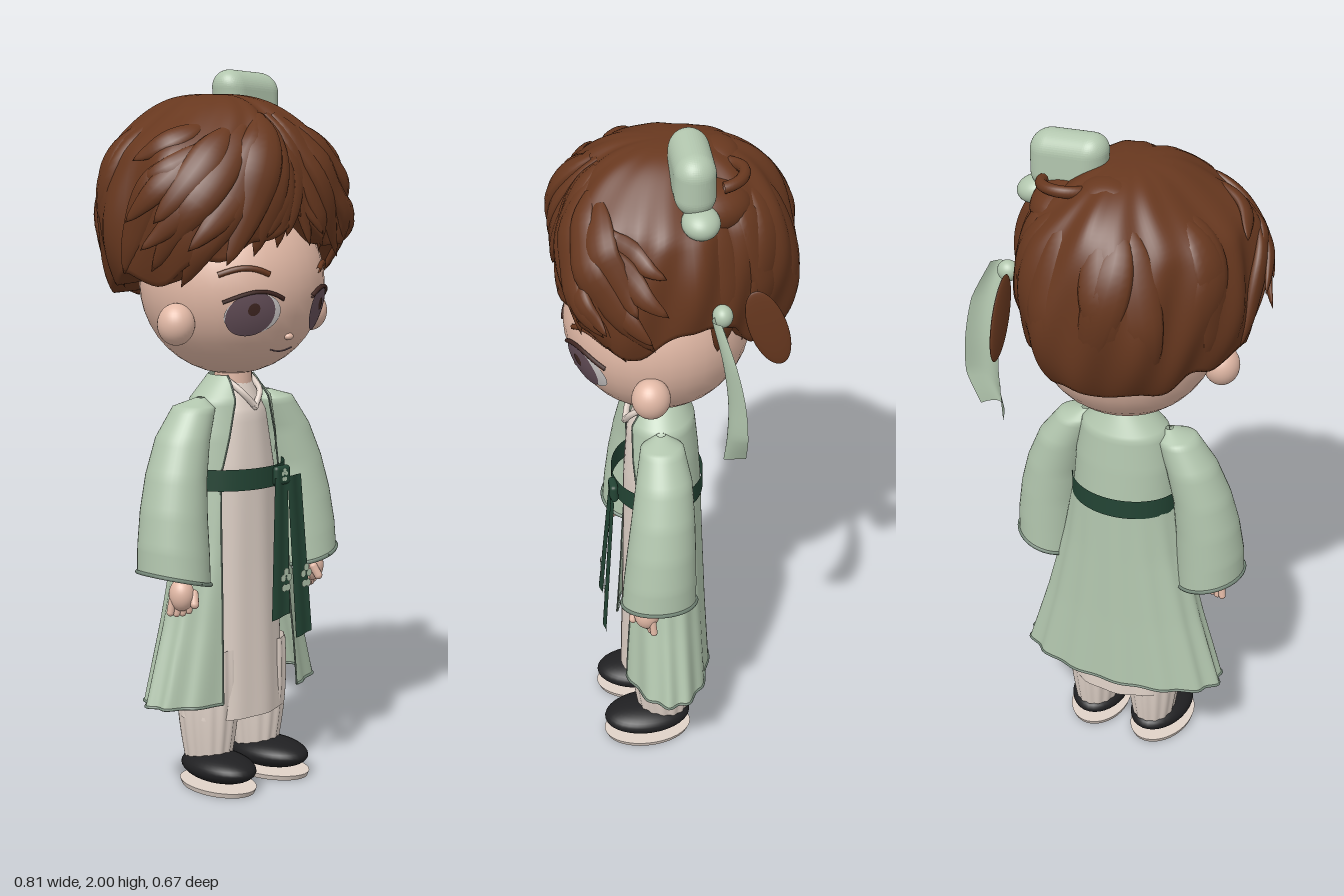
import * as THREE from 'three';
import { mergeVertices } from 'three/addons/utils/BufferGeometryUtils.js';
import { RoundedBoxGeometry } from 'three/addons/geometries/RoundedBoxGeometry.js';

const mat = (name, color, side = THREE.DoubleSide) => {
  const m = new THREE.MeshStandardMaterial({ color, side });
  m.name = name;
  return m;
};
const V = (x, y, z) => new THREE.Vector3(x, y, z);
const { sin, cos, PI, abs, sqrt } = Math;
const { clamp, lerp, smoothstep } = THREE.MathUtils;

// Smooth surface from a rule fn(u, v); u runs around, v runs downward
function grid(fn, nu, nv) {
  const pos = [], idx = [];
  for (let j = 0; j <= nv; j++) for (let i = 0; i <= nu; i++) pos.push(...fn(i / nu, j / nv).toArray());
  for (let j = 0; j < nv; j++) for (let i = 0; i < nu; i++) {
    const a = j * (nu + 1) + i, d = a + nu + 1;
    idx.push(a, d, a + 1, a + 1, d, d + 1);
  }
  let g = new THREE.BufferGeometry();
  g.setAttribute('position', new THREE.Float32BufferAttribute(pos, 3));
  g.setIndex(idx);
  g = mergeVertices(g, 1e-5);
  g.computeVertexNormals();
  return g;
}
const tube = (pts, r, n = 24) => new THREE.TubeGeometry(new THREE.CatmullRomCurve3(pts), n, r, 6);
const sample = (n, fn) => Array.from({ length: n + 1 }, (_, i) => fn(i / n));

// Linear lookup in rows [y, a, b, ...] sorted from top to bottom
function rowAt(rows, t) {
  const f = t * (rows.length - 1), i = Math.min(Math.floor(f), rows.length - 2);
  return rows[i].map((a, k) => lerp(a, rows[i + 1][k], f - i));
}

// Hair cap: radius and rim height for 16 directions, starting at the front and turning to +x
const HAIR_R = [.305, .335, .36, .335, .32, .305, .315, .335, .335, .33, .32, .325, .34, .36, .36, .335];
const RIM = [1.61, 1.54, 1.51, 1.44, 1.54, 1.52, 1.42, 1.39, 1.38, 1.38, 1.4, 1.43, 1.45, 1.44, 1.51, 1.54];
function around(table, a) {
  const f = (((a / (2 * PI)) % 1) + 1) % 1 * 16, i = Math.floor(f) % 16, k = f - Math.floor(f);
  return lerp(table[i], table[(i + 1) % 16], k * k * (3 - 2 * k));
}
function hairAt(a, y, off = 0) {
  const c = clamp((y - 1.6) / .335, -1, 1), s = Math.pow(1 - c * c, .35);
  const wave = s * (.009 * sin(7 * a + 9 * y) + .006 * sin(15 * a - 14 * y));
  const r = around(HAIR_R, a) * s + wave + off, narrow = 1 - .25 * smoothstep(y, 1.77, 1.92);
  return V(-.03 + r * sin(a) * narrow, y, r * cos(a));
}

// Face helper: a point on the head, lifted slightly
const HEAD = V(0, 1.42, .045), HR = V(.26, .255, .255);
function faceAt(x, y, lift = 1.01) {
  const k = sqrt(Math.max(0, 1 - (x / HR.x) ** 2 - ((y - HEAD.y) / HR.y) ** 2));
  return V(x * lift, (y - HEAD.y) * lift + HEAD.y, HEAD.z + HR.z * k * lift);
}
function facePatch(cx, cy, rx, ry, lift) {
  return grid((u, v) => faceAt(cx - rx * (1 - v) * sin(u * 2 * PI), cy + ry * (1 - v) * cos(u * 2 * PI), lift), 32, 6);
}

export function createModel() {
  const root = new THREE.Group();
  const skin = mat('skin', 0xe2b9a6), hair = mat('hair brown', 0x68381f), green = mat('sage cloth', 0xb2c6ae);
  const cream = mat('cream cloth', 0xe0d2c8), belt = mat('dark green sash', 0x234434), black = mat('shoe black', 0x202022);
  const trim = mat('trim green', 0x76897a), iris = mat('iris plum', 0x66505a), white = mat('eye white', 0xd0cccb);
  const dark = mat('dark brown', 0x402722);
  const add = (name, geo, m, p, s, r) => {
    const o = new THREE.Mesh(geo, m);
    o.name = name;
    if (p) o.position.set(...p);
    if (s) o.scale.set(...s);
    if (r) o.rotation.set(...r);
    root.add(o);
    return o;
  };
  const ball = (name, m, p, s, r) => add(name, new THREE.SphereGeometry(1, 32, 20), m, p, s, r);

  // Head, ears and neck
  ball('head', skin, HEAD.toArray(), HR.toArray());
  add('neck', new THREE.CylinderGeometry(.052, .055, .14, 24), skin, [0, 1.13, .05]);
  for (const s of [-1, 1]) ball('ear', skin, [s * .263, 1.325, .095], [.05, .057, .052]);

  // Face
  for (const s of [-1, 1]) {
    const ix = s < 0 ? -.132 : .112;
    add('eyeWhite', facePatch(s * .125, 1.355, .066, .055, 1.008), white);
    add('iris', facePatch(ix, 1.355, .056, .06, 1.014), iris);
    add('pupil', facePatch(ix, 1.368, .014, .017, 1.019), dark);
    add('upperLid', tube(sample(8, t => faceAt(s * lerp(.055, .198, t), 1.375 + .04 * sin(PI * (.15 + .75 * t)), 1.012)), .006), dark);
    add('eyebrow', tube(sample(6, t => faceAt(s * lerp(.095, .205, t), 1.452 + .025 * sin(PI * (.1 + .8 * t)), 1.008)), .008), hair);
  }
  ball('nose', skin, [0, 1.285, .262], [.014, .01, .012]);
  add('mouth', tube(sample(8, t => faceAt(lerp(-.04, .045, t), 1.25 - .008 * sin(PI * t), 1.002)), .0018), iris);

  // Hair cap, folded inward below the rim
  add('hairCap', grid((u, v) => {
    const a = u * 2 * PI, rim = around(RIM, a) + .012 * sin(11 * a), t = Math.min(v / .88, 1);
    const end = Math.acos((rim - 1.6) / .335);
    const p = hairAt(a, 1.6 + .335 * cos(end * t));
    const k = v > .88 ? 1 - .45 * (v - .88) / .12 : 1;
    return V(-.03 * k + (p.x + .03) * k, p.y + (1 - k) * .04, p.z * k + (1 - k) * .04);
  }, 128, 50), hair);

  // Locks sweep along the cap and taper to a tip: start angle, height, end angle, height, width, tip lift
  const lock = ([a0, y0, a1, y1, w, lift, sink = .008]) => {
    const curve = new THREE.CatmullRomCurve3(sample(6, t =>
      hairAt(lerp(a0, a1, t * t * .5 + t * .5), lerp(y0, y1, t * .6 + t * t * .4), -sink + lift * t ** 3)));
    add('hairLock', grid((u, v) => {
      const p = curve.getPoint(v), T = curve.getTangent(v);
      const N = V(p.x + .03, (p.y - 1.6) * .9, p.z).normalize(), B = V().crossVectors(T, N).normalize();
      const r = w * Math.pow(sin(PI * (.06 + .94 * v)), .7), q = u * 2 * PI;
      return p.addScaledVector(B, r * cos(q)).addScaledVector(N, r * .45 * sin(q));
    }, 12, 18), hair);
  };
  for (const s of [-1, 1]) [
    [.05, 1.88, .2, 1.53, .045, .0], [.1, 1.88, .42, 1.51, .05, .0], [.2, 1.88, .68, 1.49, .055, .01],
    [.3, 1.86, 1.05, 1.43, .055, .0], [.5, 1.85, 1.3, 1.47, .05, .01], [.35, 1.78, .95, 1.53, .045, .03],
    [.7, 1.84, 1.2, 1.6, .05, .035], [.8, 1.8, 1.4, 1.7, .035, .02], [.03, 1.75, .32, 1.56, .035, .01],
  ].forEach(l => lock([s * l[0], l[1], s * l[2], l[3], l[4], l[5]]));
  [[-.9, 1.8, -1.45, 1.6, .04, .045], [-.8, 1.7, -1.3, 1.53, .035, .05], [-1, 1.85, -1.5, 1.76, .035, .025],
    [-1.2, 1.75, -1.6, 1.46, .05, .01], [.12, 1.8, -.12, 1.56, .035, .005],
    [.75, 1.78, 1.42, 1.61, .045, .055], [.6, 1.68, 1, 1.55, .035, .05], [.9, 1.66, 1.3, 1.52, .035, .05]].forEach(lock);
  for (let i = 0; i < 9; i++) {
    const a = 1.9 + i * .31;
    lock([a + .35 * sin(i * 2), 1.85, a, 1.43 + .02 * sin(i * 3), .058, 0, .021]);
  }

  // Bun, rolled tufts and thin side strand
  ball('hairBun', hair, [.11, 1.81, -.06], [.105, .075, .13]);
  add('bunRoll', new THREE.TorusGeometry(.07, .016, 10, 28, 3.4), hair, [.1, 1.885, -.1], null, [PI / 2 + .15, 0, 2.8]);
  ball('crownTuft', hair, [-.02, 1.885, -.11], [.08, .045, .07]);
  ball('sideStrand', hair, [.25, 1.51, -.215], [.01, .12, .05], [.35, 0, 0]);

  // Hair ornament, tapered toward its base, and hanging ribbon
  const knot = new RoundedBoxGeometry(.215, .165, .108, 8, .0535), kp = knot.attributes.position;
  for (let i = 0; i < kp.count; i++) kp.setX(i, kp.getX(i) * (1 + .5 * kp.getY(i)) - .12 * kp.getY(i));
  knot.computeVertexNormals();
  add('topKnot', knot, green, [.13, 1.915, -.03], null, [0, 0, -.07]);
  ball('topKnotEnd', green, [.222, 1.82, -.04], [.054, .038, .05], [0, 0, -.25]);
  ball('ribbonKnot', green, [.29, 1.582, -.088], [.03, .03, .027]);
  const ribbonRows = [[.323, 1.59, -.075, .026], [.347, 1.48, -.1, .047], [.355, 1.36, -.115, .051], [.35, 1.25, -.115, .053], [.325, 1.155, -.11, .034]];
  const ribbonPath = new THREE.CatmullRomCurve3(ribbonRows.map(r => V(r[0], r[1], r[2])));
  const ribbonAt = (u, v) => {
    const p = ribbonPath.getPoint(v), s = u * 2 - 1, w = rowAt(ribbonRows, v)[3];
    return V(p.x + s * w, p.y + s * .02 * v, p.z + .02 - .055 * s * s * (.4 + .6 * v));
  };
  add('hairRibbon', grid(ribbonAt, 14, 24), green);

  // Inner robe with crossed collar
  const robeRows = [[1.15, .056, .058], [1.06, .105, .09], [.9, .138, .102], [.6, .155, .108], [.2, .172, .12]];
  add('innerRobe', grid((u, v) => {
    const [y, w, d] = rowAt(robeRows, v), a = u * 2 * PI, k = 1 + .02 * v * sin(10 * a);
    return V(w * k * sin(a), y, .042 + d * k * cos(a));
  }, 64, 28), cream);
  for (const s of [-1, 1]) add('collar', tube([V(s * .05, 1.155, .07), V(s * .034, 1.12, .12), V(s * -.004, 1.075, .138)], .009), cream);

  // Open coat with trimmed edges
  const coatRows = [[1.165, .062, .064], [1.1, .128, .098], [1, .146, .108], [.9, .153, .115], [.7, .188, .12], [.48, .243, .126], [.26, .308, .135]];
  const coatAt = (u, v) => {
    const [y, w, d] = rowAt(coatRows, v);
    const open = y > .9 ? .05 + (1.165 - y) * .24 : .115 + (.9 - y) * .05;
    const a0 = Math.asin(Math.min(open / w, .86)), a = lerp(a0, 2 * PI - a0, u);
    const k = 1 + .024 * Math.max(0, v - .45) * 2 * sin(14 * a);
    return V(w * k * sin(a), y, .04 + d * k * cos(a));
  };
  add('coat', grid(coatAt, 96, 42), green);
  for (const u of [0, 1]) add('coatEdge', tube(sample(30, t => coatAt(u, t)), .0025, 60), trim);
  add('coatHem', tube(sample(70, t => coatAt(t, 1)), .004, 140), trim);

  // Sleeves, linings and hands
  const sleeveRows = [[1.11, .13, .052, .01, .012], [1.085, .155, .052, .058, .06], [1, .2, .053, .072, .078],
    [.9, .231, .06, .081, .088], [.8, .247, .067, .09, .096], [.7, .254, .073, .097, .102], [.625, .256, .076, .097, .105]];
  for (const s of [-1, 1]) {
    const sleeveAt = (u, v, k = 1) => {
      const [y, x, z, rx, rz] = rowAt(sleeveRows, v), a = u * 2 * PI;
      return V(s * x + k * rx * sin(a), y + s * .025 * v * sin(a) * k, z + k * rz * cos(a));
    };
    add('sleeve', grid(sleeveAt, 40, 36), green);
    add('cuffTrim', tube(sample(32, t => sleeveAt(t, 1)), .006, 64), trim);
    add('sleeveLining', grid((u, v) => sleeveAt(u, 1 - v * .1, .985 - v * .75), 40, 6), cream);
    ball('palm', skin, [s * .262, .585, .112], [.034, .045, .036]);
    for (let i = 0; i < 4; i++)
      add('finger', new THREE.CapsuleGeometry(.0105, .035, 4, 10), skin, [s * (.238 + i * .016), .548 + abs(i - 1.5) * .004, .115 - i * .006], null, [.1, 0, s * (i - 1.5) * .08]);
    add('thumb', new THREE.CapsuleGeometry(.012, .03, 4, 10), skin, [s * .245, .575, .145], null, [-.4, 0, s * .3]);
  }

  // Sash, knot and hanging tails with small blossoms
  add('sash', grid((u, v) => {
    const a = u * 2 * PI;
    return V(.162 * sin(a), .915 - .06 * v, .048 + .13 * cos(a));
  }, 64, 4), belt);
  add('sashKnot', new RoundedBoxGeometry(.06, .055, .024, 4, .011), belt, [.06, .884, .18]);
  const blossom = (x, y, z, r) => {
    for (let i = 0; i < 5; i++)
      add('blossom', new THREE.CircleGeometry(r, 12), green, [x + r * 1.1 * sin(i * 1.257), y + r * 2.3 * cos(i * 1.257), z]);
  };
  [[.053, .026, .02, .037, .49], [.105, .028, .115, .033, .425]].forEach(([x0, w0, x1, w1, y1]) => {
    add('sashTail', grid((u, v) => V(lerp(x0, x1, v) + (u * 2 - 1) * lerp(w0, w1, v),
      lerp(.88, y1, v) + (u - .5) * .01 * v, lerp(.188, .22, v) + .003 * sin(u * 6)), 8, 16), belt);
    blossom(lerp(x0, x1, .7) + .012, .592, .219, .011);
  });
  blossom(.06, .886, .194, .006);

  // Pleated trousers, shoes and thin soles
  for (const s of [-1, 1]) {
    add('trouserLeg', grid((u, v) => {
      const a = u * 2 * PI, k = 1 + .03 * sin(14 * a), bulge = .006 * sin(PI * v);
      return V(s * .095 + (lerp(.078, .06, v * v) + bulge) * k * sin(a), lerp(.4, .08, v), .045 + (lerp(.092, .072, v * v) + bulge) * k * cos(a));
    }, 84, 14), cream);
    ball('shoe', black, [s * .102, .06, .095], [.085, .042, .13], [0, s * .08, 0]);
    add('sole', new THREE.CylinderGeometry(1, .95, .014, 40), cream, [s * .104, .007, .095], [.088, 1, .132], [0, s * .08, 0]);
  }
  return root;
}
